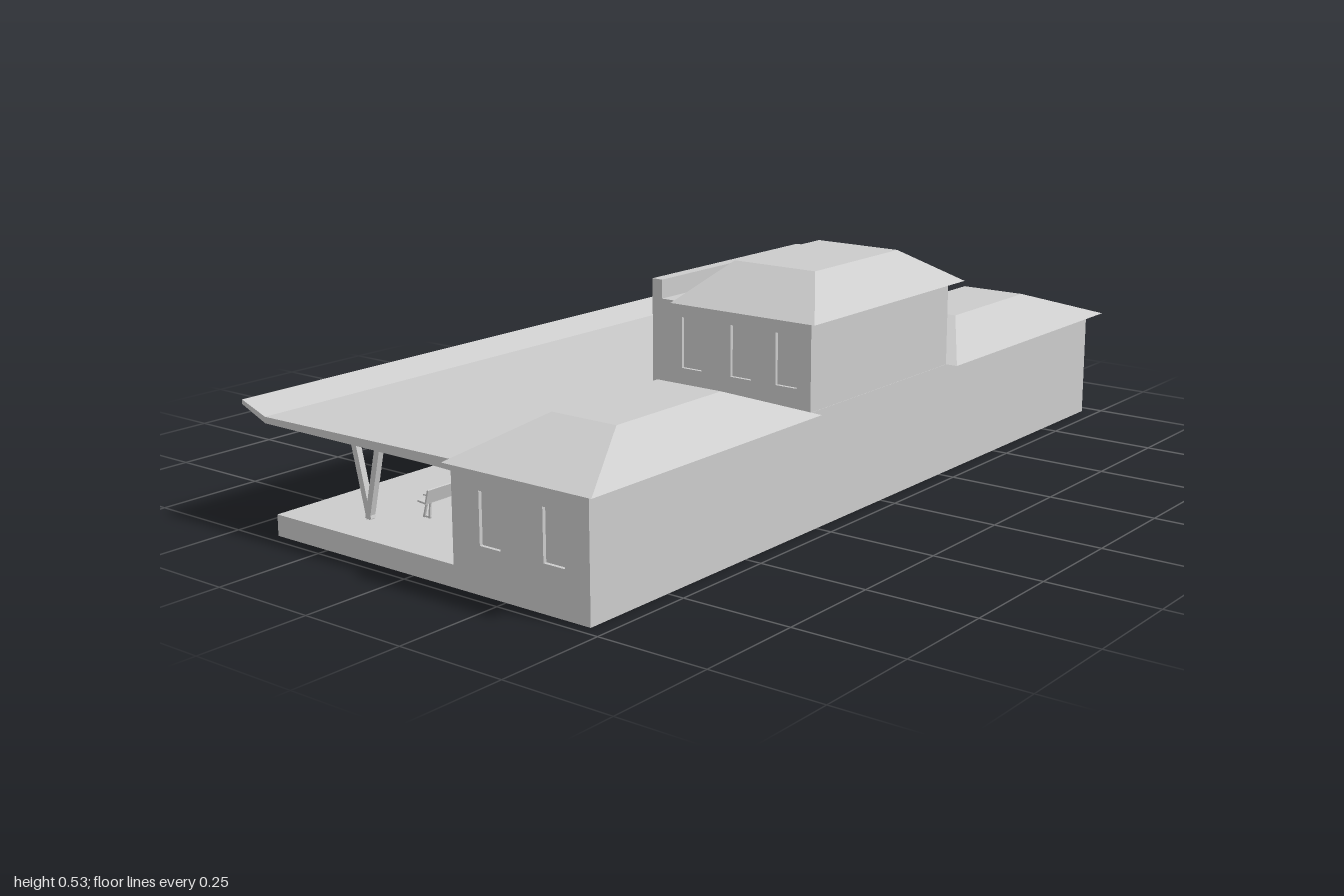
import * as THREE from 'three';

const material = new THREE.MeshStandardMaterial({ color: 0xcccccc, flatShading: true, side: THREE.DoubleSide });
const DEPTH = 0.008; // window recess depth

function mesh(name, geometry, parent) {
  const m = new THREE.Mesh(geometry, material);
  m.name = name;
  parent.add(m);
  return m;
}

// Box given by its minimum and maximum on each axis
function block(name, parent, [x0, x1], [y0, y1], [z0, z1]) {
  const m = mesh(name, new THREE.BoxGeometry(x1 - x0, y1 - y0, z1 - z0), parent);
  m.position.set((x0 + x1) / 2, (y0 + y1) / 2, (z0 + z1) / 2);
  return m;
}

function outline(points) {
  return new THREE.Shape(points.map(([x, y]) => new THREE.Vector2(x, y)));
}

// Square bar between two points in the x-y plane
function bar(name, parent, [xa, ya], [xb, yb], thick, z, length) {
  const m = mesh(name, new THREE.BoxGeometry(thick, Math.hypot(xb - xa, yb - ya), length), parent);
  m.position.set((xa + xb) / 2, (ya + yb) / 2, z);
  m.rotation.z = -Math.atan2(xb - xa, yb - ya);
  return m;
}

// Thin wall with rectangular window openings centred on the given positions
function wall(name, parent, [a0, a1], [y0, y1], centres, [w0, w1], width = 0.054) {
  const shape = outline([[a0, y0], [a1, y0], [a1, y1], [a0, y1]]);
  for (const c of centres) {
    const l = c - width / 2, r = c + width / 2;
    shape.holes.push(new THREE.Path([[l, w0], [l, w1], [r, w1], [r, w0]].map(([x, y]) => new THREE.Vector2(x, y))));
  }
  return mesh(name, new THREE.ExtrudeGeometry(shape, { depth: DEPTH, bevelEnabled: false }), parent);
}

// Hip roof: eaves rectangle rising to a smaller flat top
function hipRoof(name, parent, eaves, top, y0, y1) {
  const corners = ([x0, x1, z0, z1], y) => [x0, y, z1, x1, y, z1, x1, y, z0, x0, y, z0];
  const index = [0, 2, 1, 0, 3, 2, 4, 5, 6, 4, 6, 7];
  for (let i = 0; i < 4; i++) {
    const j = (i + 1) % 4;
    index.push(i, j, j + 4, i, j + 4, i + 4);
  }
  let g = new THREE.BufferGeometry();
  g.setAttribute('position', new THREE.Float32BufferAttribute([...corners(eaves, y0), ...corners(top, y1)], 3));
  g.setIndex(index);
  g = g.toNonIndexed();
  g.computeVertexNormals();
  return mesh(name, g, parent);
}

// Solid core faced with recessed-window walls on both ends and the track side
function building(name, parent, [x0, x1], [z0, z1], height, ends, track, sill) {
  const g = new THREE.Group();
  g.name = name;
  parent.add(g);
  block('core', g, [x0 + DEPTH, x1], [0, height], [z0 + DEPTH, z1 - DEPTH]);
  wall('frontEndWall', g, [x0, x1], [0, height], ends, sill).position.z = z1 - DEPTH;
  wall('backEndWall', g, [x0, x1], [0, height], ends, sill).position.z = z0;
  const side = wall('trackWall', g, [z0, z1], [0, height], track, sill);
  side.rotation.y = -Math.PI / 2;
  side.position.x = x0 + DEPTH;
  return g;
}

// Two sloping legs meeting at the platform
function canopyColumn(parent, z) {
  const g = new THREE.Group();
  g.name = 'canopyColumn';
  parent.add(g);
  bar('outerLeg', g, [-0.22, 0.05], [-0.266, 0.24], 0.014, z, 0.014);
  bar('innerLeg', g, [-0.224, 0.05], [-0.18, 0.24], 0.014, z, 0.014);
}

function bench(parent, z) {
  const g = new THREE.Group();
  g.name = 'bench';
  parent.add(g);
  const length = 0.13;
  bar('seat', g, [-0.15, 0.085], [-0.126, 0.083], 0.004, z, length);
  bar('backrest', g, [-0.127, 0.083], [-0.119, 0.113], 0.004, z, length);
  for (const s of [-1, 1]) {
    const e = z + s * 0.05;
    bar('backLeg', g, [-0.131, 0.047], [-0.127, 0.085], 0.004, e, 0.004);
    bar('frontLeg', g, [-0.147, 0.047], [-0.136, 0.085], 0.004, e, 0.004);
    bar('foot', g, [-0.148, 0.05], [-0.126, 0.05], 0.004, e, 0.004);
    bar('armrest', g, [-0.146, 0.096], [-0.124, 0.096], 0.003, e, 0.004);
  }
}

function litterBin(parent, z) {
  const g = new THREE.Group();
  g.name = 'litterBin';
  parent.add(g);
  block('binPost', g, [-0.257, -0.253], [0.047, 0.068], [z - 0.002, z + 0.002]);
  block('binBody', g, [-0.265, -0.245], [0.065, 0.1], [z - 0.01, z + 0.01]);
}

export function createModel() {
  const model = new THREE.Group();
  model.name = 'railwayStation';
  const span = [-0.966, 0.975];
  const towerSpan = [-0.27, 0.275];

  block('platform', model, [-0.402, 0.2], [0, 0.047], span);

  // Long low building and the taller middle block
  building('lowBuilding', model, [0.113, 0.462], span, 0.258, [0.212, 0.375],
    [-0.88, -0.72, -0.56, -0.4, 0.4, 0.56, 0.72, 0.88], [0.1, 0.21]);
  building('middleBlock', model, [0.04, 0.461], towerSpan, 0.451, [0.148, 0.28, 0.398],
    [-2, -1, 0, 1, 2].map(i => 0.002 + i * 0.1), [0.304, 0.417]);
  block('parapet', model, [0.04, 0.067], [0.45, 0.493], towerSpan);

  // Roofs
  hipRoof('middleRoof', model, [0.11, 0.486, -0.3, 0.3], [0.18, 0.392, -0.16, 0.163], 0.451, 0.532);
  hipRoof('frontWingRoof', model, [0.113, 0.49, 0.275, 1], [0.205, 0.37, 0.462, 0.788], 0.258, 0.328);
  hipRoof('backWingRoof', model, [0.113, 0.49, -1, -0.27], [0.205, 0.37, -0.788, -0.462], 0.258, 0.328);

  // Platform canopy with upturned outer edge
  const profile = outline([[-0.496, 0.27], [-0.425, 0.24], [0.05, 0.238], [0.118, 0.236],
    [0.118, 0.259], [-0.425, 0.254], [-0.496, 0.28]]);
  mesh('canopy', new THREE.ExtrudeGeometry(profile, { depth: span[1] - span[0], bevelEnabled: false }), model)
    .position.z = span[0];

  // Columns and platform furniture, mirrored front to back
  for (const s of [-1, 1]) {
    for (const z of [0.88, 0.35]) {
      canopyColumn(model, s * z);
      litterBin(model, s * (z - 0.03));
    }
    for (const z of [0.75, 0.2]) bench(model, s * z);
  }
  return model;
}
